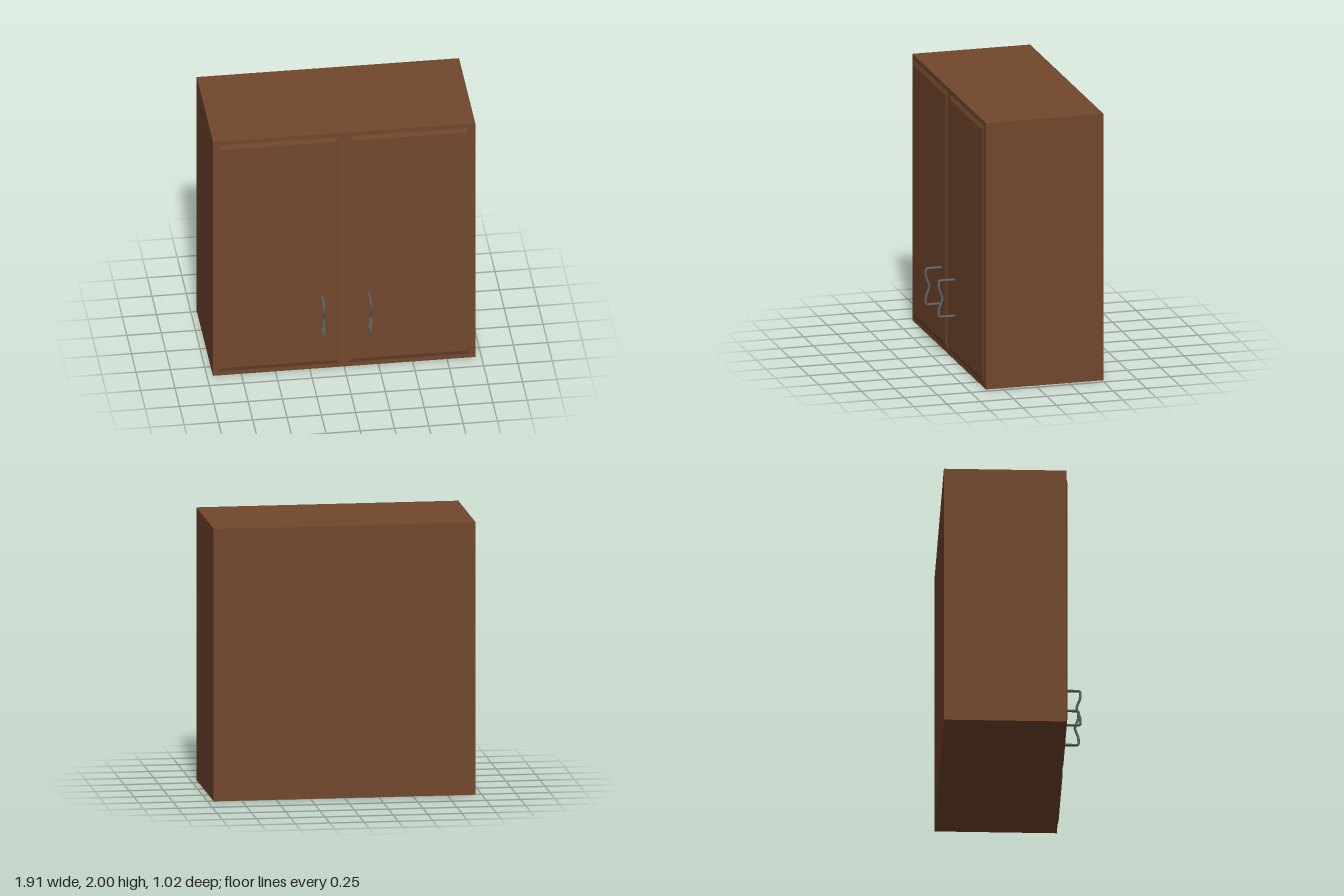
import * as THREE from 'three';

const wood = new THREE.MeshStandardMaterial({ color: 0x73472d });
wood.name = 'brown wood';
const metal = new THREE.MeshStandardMaterial({ color: 0x5c6265 });
metal.name = 'grey metal';

const FRONT = 0.373;   // front plane of the cabinet box
const BACK = -0.512;
const RAISE = 0.011;   // height of the raised door panels

// Raised panel: a thin box whose front face is inset to form sloped edges
function panelGeometry(width, height, inset) {
  const geometry = new THREE.BoxGeometry(width, height, RAISE);
  const p = geometry.attributes.position;
  for (let i = 0; i < p.count; i++) {
    if (p.getZ(i) > 0) {
      p.setX(i, p.getX(i) - Math.sign(p.getX(i)) * inset);
      p.setY(i, p.getY(i) - Math.sign(p.getY(i)) * inset);
    }
  }
  geometry.computeVertexNormals();
  return geometry;
}

// Bent-wire pull: two legs with rounded corners and a dip in the grip
function handleGeometry() {
  const v = (y, z) => new THREE.Vector3(0, y, z);
  const h = 0.136, out = 0.127, r = 0.018;
  const path = new THREE.CurvePath();
  path.add(new THREE.LineCurve3(v(h, -0.004), v(h, out - r)));
  path.add(new THREE.QuadraticBezierCurve3(v(h, out - r), v(h, out), v(h - r, out)));
  path.add(new THREE.CatmullRomCurve3([
    v(h - r, out), v(0.075, out - 0.003), v(0.035, out - 0.017), v(0, out - 0.027),
    v(-0.035, out - 0.017), v(-0.075, out - 0.003), v(r - h, out)
  ]));
  path.add(new THREE.QuadraticBezierCurve3(v(r - h, out), v(-h, out), v(-h, out - r)));
  path.add(new THREE.LineCurve3(v(-h, out - r), v(-h, -0.004)));
  return new THREE.TubeGeometry(path, 96, 0.0095, 12, false);
}

export function createModel() {
  const model = new THREE.Group();
  model.name = 'wallCabinet';

  function add(name, geometry, material, x, y, z) {
    const mesh = new THREE.Mesh(geometry, material);
    mesh.name = name;
    mesh.position.set(x, y, z);
    model.add(mesh);
  }

  // Closed cabinet box
  add('cabinetBody', new THREE.BoxGeometry(1.912, 2, FRONT - BACK), wood, 0, 1, (FRONT + BACK) / 2);

  // Two doors, each with a raised panel and a pull
  const panel = panelGeometry(0.885, 1.93, 0.032);
  const handle = handleGeometry();
  for (const [side, panelX, handleX] of [['right', -0.477, -0.162], ['left', 0.477, 0.178]]) {
    add(side + 'DoorPanel', panel, wood, panelX, 1, FRONT + RAISE / 2);
    add(side + 'Handle', handle, metal, handleX, 0.478, FRONT + RAISE - 0.008);
  }

  return model;
}
